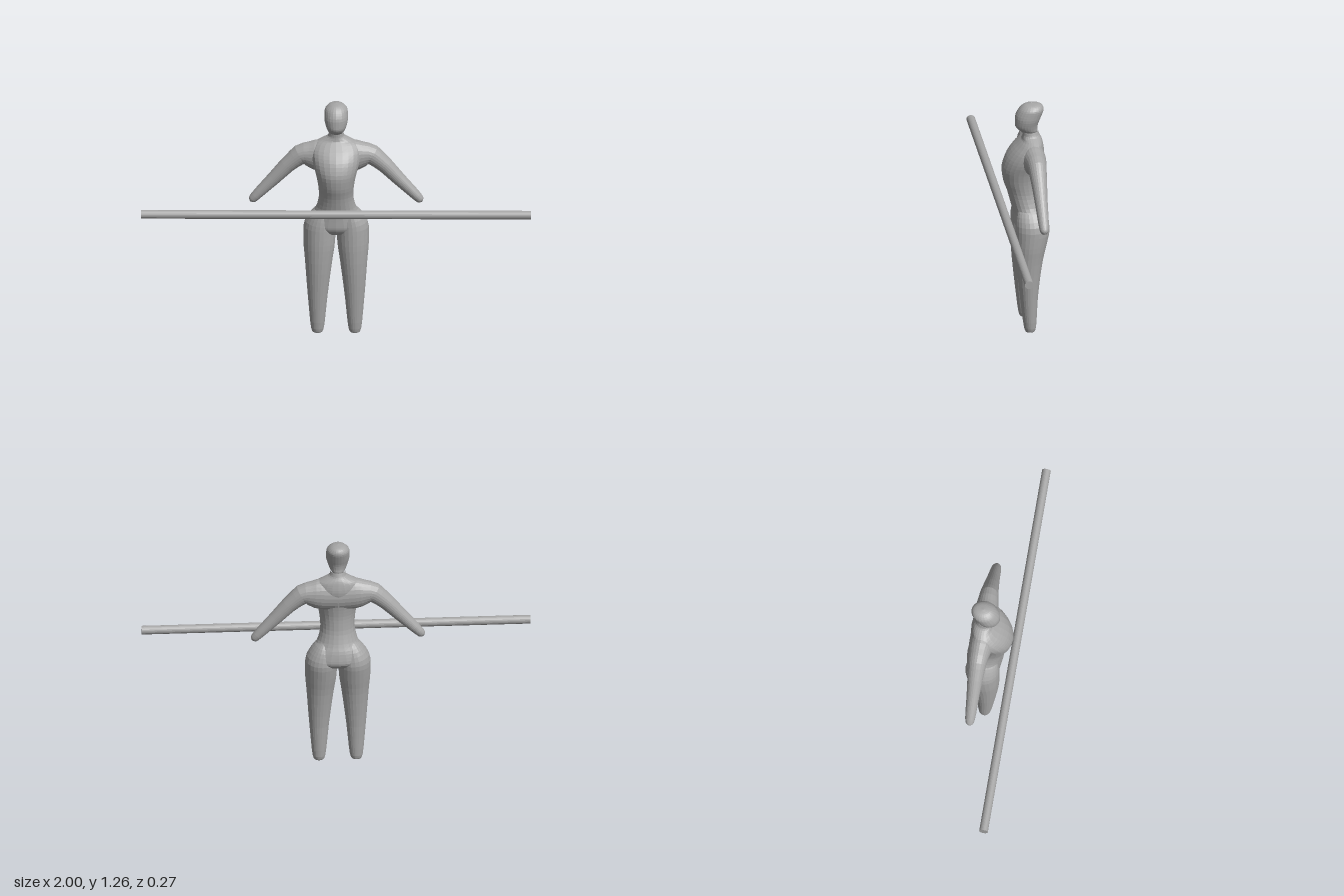
import * as THREE from 'three';

const grey = new THREE.MeshStandardMaterial({ color: 0xa6a6a6, flatShading: true });
grey.name = 'plain grey';

// Smooth interpolation through one column of the section rows, without overshoot
function sample(rows, col, t) {
  const n = rows.length - 1;
  const i = Math.min(Math.floor(t), n - 1), s = t - i;
  const d = (k) => rows[k + 1][col] - rows[k][col];
  const slope = (k) => {
    if (k === 0) return d(0);
    if (k === n) return d(n - 1);
    const a = d(k - 1), b = d(k);
    return a * b <= 0 ? 0 : (2 * a * b) / (a + b);
  };
  const s2 = s * s, s3 = s2 * s;
  return rows[i][col] * (2 * s3 - 3 * s2 + 1) + slope(i) * (s3 - 2 * s2 + s)
    + rows[i + 1][col] * (3 * s2 - 2 * s3) + slope(i + 1) * (s3 - s2);
}

// Skin elliptical rings along a path; each row is [x, y, half width, front z, back z]
function loft(name, rows, steps = 3, sides = 24) {
  const pos = [], idx = [];
  const rings = (rows.length - 1) * steps;
  const at = (t, c) => sample(rows, c, Math.min(Math.max(t, 0), rows.length - 1));
  for (let r = 0; r <= rings; r++) {
    const t = r / steps;
    let tx = at(t + 0.2, 0) - at(t - 0.2, 0), ty = at(t + 0.2, 1) - at(t - 0.2, 1);
    const len = Math.hypot(tx, ty) || 1;
    tx /= len; ty /= len;
    const x = at(t, 0), y = at(t, 1), w = at(t, 2), f = at(t, 3), b = at(t, 4);
    for (let s = 0; s < sides; s++) {
      const a = (s / sides) * Math.PI * 2, u = w * Math.cos(a);
      pos.push(x + u * ty, y - u * tx, (f + b) / 2 + ((f - b) / 2) * Math.sin(a));
      if (r < rings) {
        const p = r * sides + s, q = r * sides + ((s + 1) % sides);
        idx.push(p, p + sides, q, q, p + sides, q + sides);
      }
    }
  }
  const geo = new THREE.BufferGeometry();
  geo.setAttribute('position', new THREE.Float32BufferAttribute(pos, 3));
  geo.setIndex(idx);
  geo.computeVertexNormals();
  const mesh = new THREE.Mesh(geo, grey);
  mesh.name = name;
  return mesh;
}

const torso = [
  [0, 0.54, 0.001, -0.04, -0.042],
  [0, 0.55, 0.06, 0.01, -0.08],
  [0, 0.57, 0.13, 0.035, -0.115],
  [0, 0.60, 0.16, 0.047, -0.133],
  [0, 0.65, 0.135, 0.048, -0.125],
  [0, 0.70, 0.102, 0.06, -0.107],
  [0, 0.77, 0.088, 0.078, -0.09],
  [0, 0.83, 0.093, 0.098, -0.087],
  [0, 0.89, 0.105, 0.106, -0.093],
  [0, 0.95, 0.122, 0.09, -0.105],
  [0, 1.00, 0.128, 0.058, -0.112],
  [0, 1.04, 0.112, 0.018, -0.106],
  [0, 1.06, 0.078, 0.0, -0.1],
  [0, 1.08, 0.043, -0.002, -0.09],
  [0, 1.10, 0.037, 0.0, -0.083],
];

const head = [
  [0, 1.095, 0.03, -0.005, -0.08],
  [0, 1.105, 0.038, 0.012, -0.081],
  [0, 1.118, 0.045, 0.027, -0.08],
  [0, 1.14, 0.053, 0.037, -0.083],
  [0, 1.18, 0.061, 0.036, -0.098],
  [0, 1.22, 0.059, 0.02, -0.112],
  [0, 1.24, 0.046, 0.002, -0.106],
  [0, 1.251, 0.027, -0.018, -0.087],
  [0, 1.256, 0.001, -0.05, -0.052],
];

// Ankle to hip
const leg = [
  [0.096, 0, 0.001, -0.026, -0.028],
  [0.096, 0.006, 0.024, -0.004, -0.05],
  [0.096, 0.028, 0.033, 0.004, -0.058],
  [0.095, 0.2, 0.05, 0.025, -0.068],
  [0.09, 0.4, 0.07, 0.044, -0.093],
  [0.087, 0.5, 0.081, 0.048, -0.115],
  [0.085, 0.58, 0.083, 0.047, -0.13],
  [0.075, 0.65, 0.058, 0.04, -0.115],
  [0.065, 0.7, 0.02, 0.02, -0.08],
];

// Shoulder to hand
const arm = [
  [0, 0.965, 0.088, 0.02, -0.11],
  [0.09, 0.97, 0.084, 0.015, -0.11],
  [0.165, 0.975, 0.058, 0.0, -0.102],
  [0.225, 0.937, 0.045, -0.008, -0.095],
  [0.32, 0.84, 0.035, -0.018, -0.085],
  [0.415, 0.742, 0.025, -0.026, -0.077],
  [0.433, 0.722, 0.02, -0.032, -0.07],
  [0.442, 0.712, 0.001, -0.05, -0.052],
];

export function createModel() {
  const model = new THREE.Group();
  model.name = 'figureWithPole';
  model.add(loft('torso', torso), loft('head', head));

  // Mirrored limbs
  for (const [side, s] of [['left', 1], ['right', -1]]) {
    const mirror = (rows) => rows.map(([x, ...rest]) => [s * x, ...rest]);
    model.add(loft(side + 'Leg', mirror(leg)), loft(side + 'Arm', mirror(arm)));
  }

  // Long straight pole in front of the hips
  const pole = new THREE.Mesh(new THREE.CylinderGeometry(0.0225, 0.0225, 2, 24), grey);
  pole.name = 'pole';
  pole.rotation.z = Math.PI / 2;
  pole.position.set(0, 0.703, 0.114);
  model.add(pole);
  return model;
}
